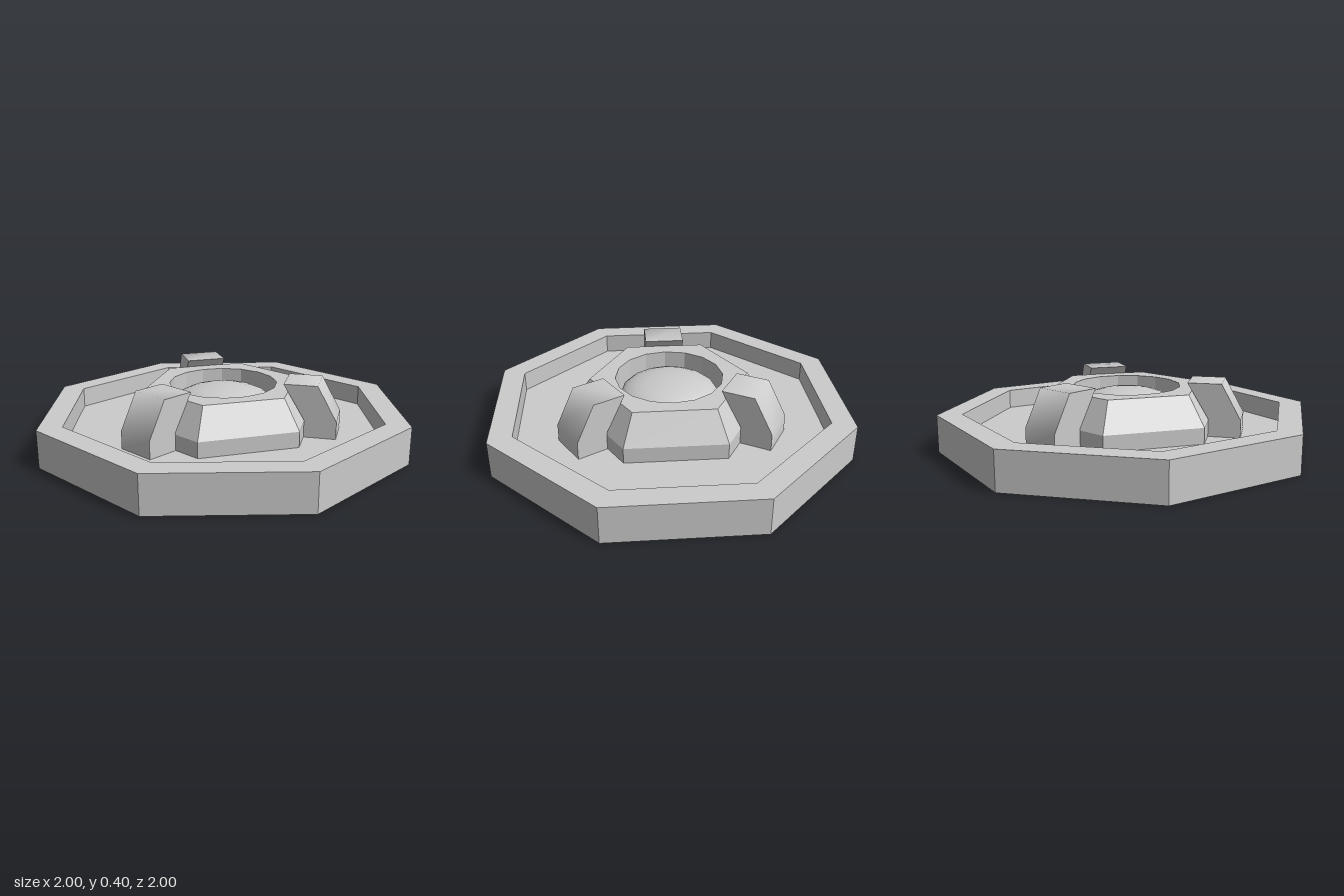
import * as THREE from 'three';
import { toCreasedNormals } from 'three/addons/utils/BufferGeometryUtils.js';

const FLOOR = 0.1, RIM = 0.215, HUB_TOP = 0.355;
const flat = new THREE.MeshStandardMaterial({ color: 0xcccccc, flatShading: true, side: THREE.DoubleSide });
const smooth = new THREE.MeshStandardMaterial({ color: 0xcccccc });

function add(parent, name, geometry, material) {
  const mesh = new THREE.Mesh(geometry, material);
  mesh.name = name;
  parent.add(mesh);
  return mesh;
}

// Regular polygon whose first corner lies on the vertical axis
function polygon(radius, sides) {
  return Array.from({ length: sides }, (_, i) => {
    const a = (i / sides) * Math.PI * 2;
    return new THREE.Vector2(radius * Math.sin(a), radius * Math.cos(a));
  });
}

function tube(rTop, rBottom, yBottom, yTop, sides) {
  return new THREE.CylinderGeometry(rTop, rBottom, yTop - yBottom, sides, 1, true)
    .translate(0, (yTop + yBottom) / 2, 0);
}

export function createModel() {
  const model = new THREE.Group();
  model.name = 'octagonalPad';

  // Octagonal tray: underside, outer wall, rim, inner wall and sunken floor
  const corner = 1 / Math.cos(Math.PI / 8);
  const trayProfile = [
    [0, 0], [corner, 0], [corner, RIM], [0.87 * corner, RIM], [0.87 * corner, FLOOR], [0, FLOOR],
  ].map(([r, y]) => new THREE.Vector2(r, y));
  add(model, 'tray', new THREE.LatheGeometry(trayProfile, 8, Math.PI / 8), flat);

  // Six-sided hub with a bevelled shoulder and a round opening
  const hub = new THREE.Group();
  hub.name = 'hub';
  model.add(hub);
  add(hub, 'hubSkirt', tube(0.565, 0.565, FLOOR, 0.19, 6), flat);
  add(hub, 'hubBevel', tube(0.455, 0.565, 0.19, HUB_TOP, 6), flat);
  const top = new THREE.Shape(polygon(0.455, 6));
  top.holes.push(new THREE.Path(polygon(0.31, 16)));
  add(hub, 'hubTop', new THREE.ShapeGeometry(top).rotateX(-Math.PI / 2).translate(0, HUB_TOP, 0), flat);
  add(hub, 'openingWall', tube(0.31, 0.31, FLOOR, HUB_TOP, 16), flat);

  // Low dome set inside the opening
  const dome = add(model, 'dome', new THREE.SphereGeometry(0.285, 16, 12), smooth);
  dome.scale.y = 0.35;
  dome.position.y = 0.24;

  // Three clamps around the hub, with softly rounded outer faces
  const clampShape = new THREE.Shape([
    [0.49, FLOOR], [0.67, FLOOR], [0.67, 0.2], [0.56, 0.4], [0.37, 0.4], [0.49, 0.2],
  ].map(([r, y]) => new THREE.Vector2(r, y)));
  const clampGeometry = toCreasedNormals(
    new THREE.ExtrudeGeometry(clampShape, { depth: 0.23, bevelEnabled: false }).translate(0, 0, -0.115), 1.12);
  for (let i = 0; i < 3; i++) {
    const clamp = add(model, 'clamp' + (i + 1), clampGeometry, smooth);
    clamp.rotation.y = Math.PI + (i * Math.PI * 2) / 3;
  }

  return model;
}
